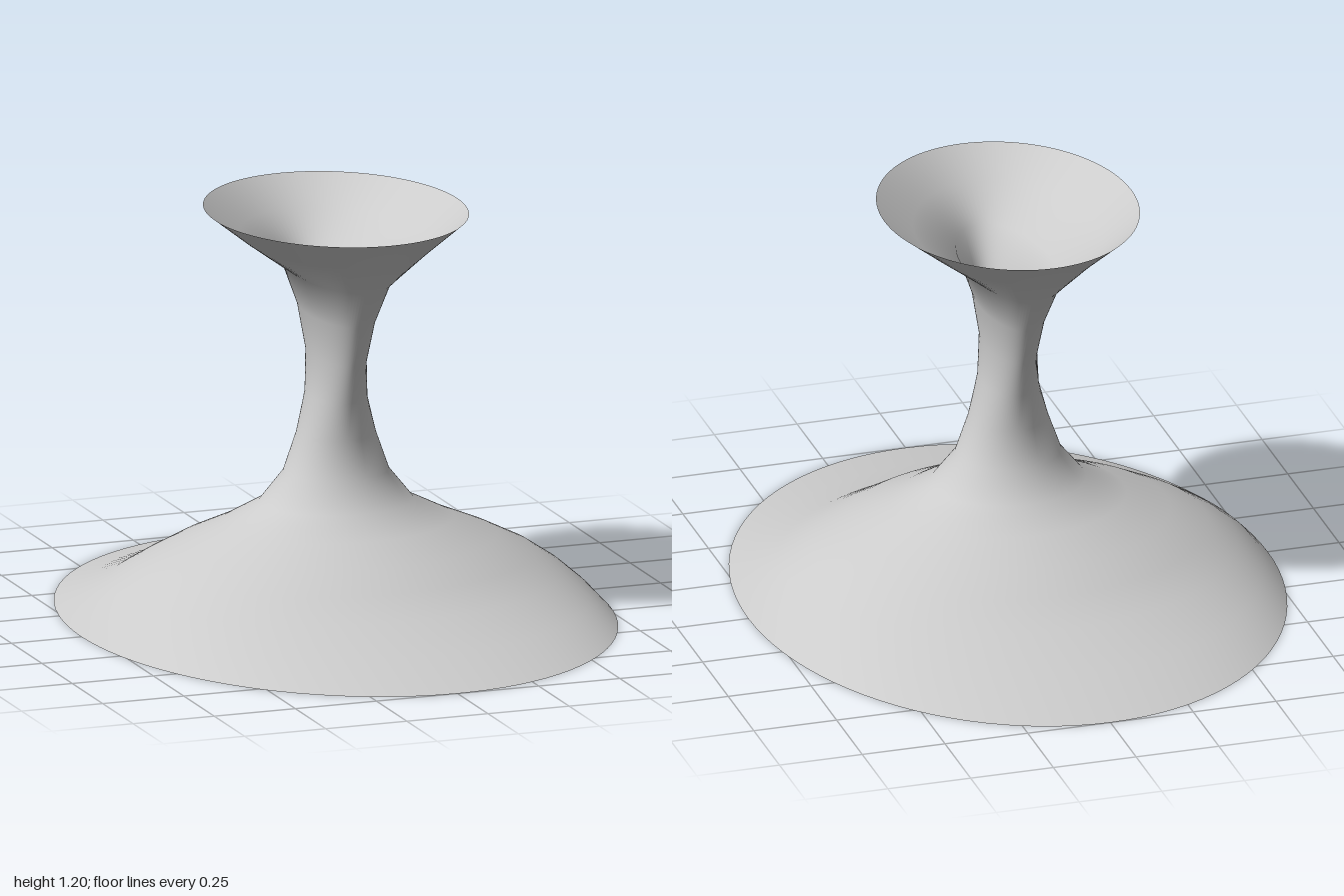
import * as THREE from 'three';

// Elliptical rings from foot to rim: [height, half width in x, half depth in z]
const RINGS = [
  [0, 0.785, 1.0], [0.057, 0.735, 0.77], [0.114, 0.67, 0.58], [0.17, 0.587, 0.48],
  [0.226, 0.475, 0.394], [0.28, 0.347, 0.285], [0.34, 0.227, 0.198], [0.428, 0.156, 0.138],
  [0.54, 0.116, 0.115], [0.655, 0.084, 0.13], [0.773, 0.072, 0.164], [0.9, 0.089, 0.218],
  [1.02, 0.13, 0.287], [1.118, 0.265, 0.366], [1.203, 0.373, 0.454],
];
const SEGMENTS = 96;

// Skin closed elliptical rings into one smooth open shell
function loftEllipses(rings, segments) {
  const positions = [], indices = [];
  rings.forEach(([y, rx, rz], j) => {
    for (let i = 0; i < segments; i++) {
      const t = (i / segments) * Math.PI * 2;
      positions.push(rx * Math.cos(t), y, rz * Math.sin(t));
      if (j === rings.length - 1) continue;
      const a = j * segments + i;
      const b = j * segments + (i + 1) % segments;
      indices.push(a, a + segments, b, b, a + segments, b + segments);
    }
  });
  const geometry = new THREE.BufferGeometry();
  geometry.setAttribute('position', new THREE.Float32BufferAttribute(positions, 3));
  geometry.setIndex(indices);
  geometry.computeVertexNormals();
  return geometry;
}

export function createModel() {
  const group = new THREE.Group();
  group.name = 'flaredPedestal';
  const material = new THREE.MeshStandardMaterial({ color: 0xcccccc, side: THREE.DoubleSide });

  // Thin hollow shell: wide foot, pinched neck and flared rim
  const shell = new THREE.Mesh(loftEllipses(RINGS, SEGMENTS), material);
  shell.name = 'flaredShell';
  group.add(shell);
  return group;
}
